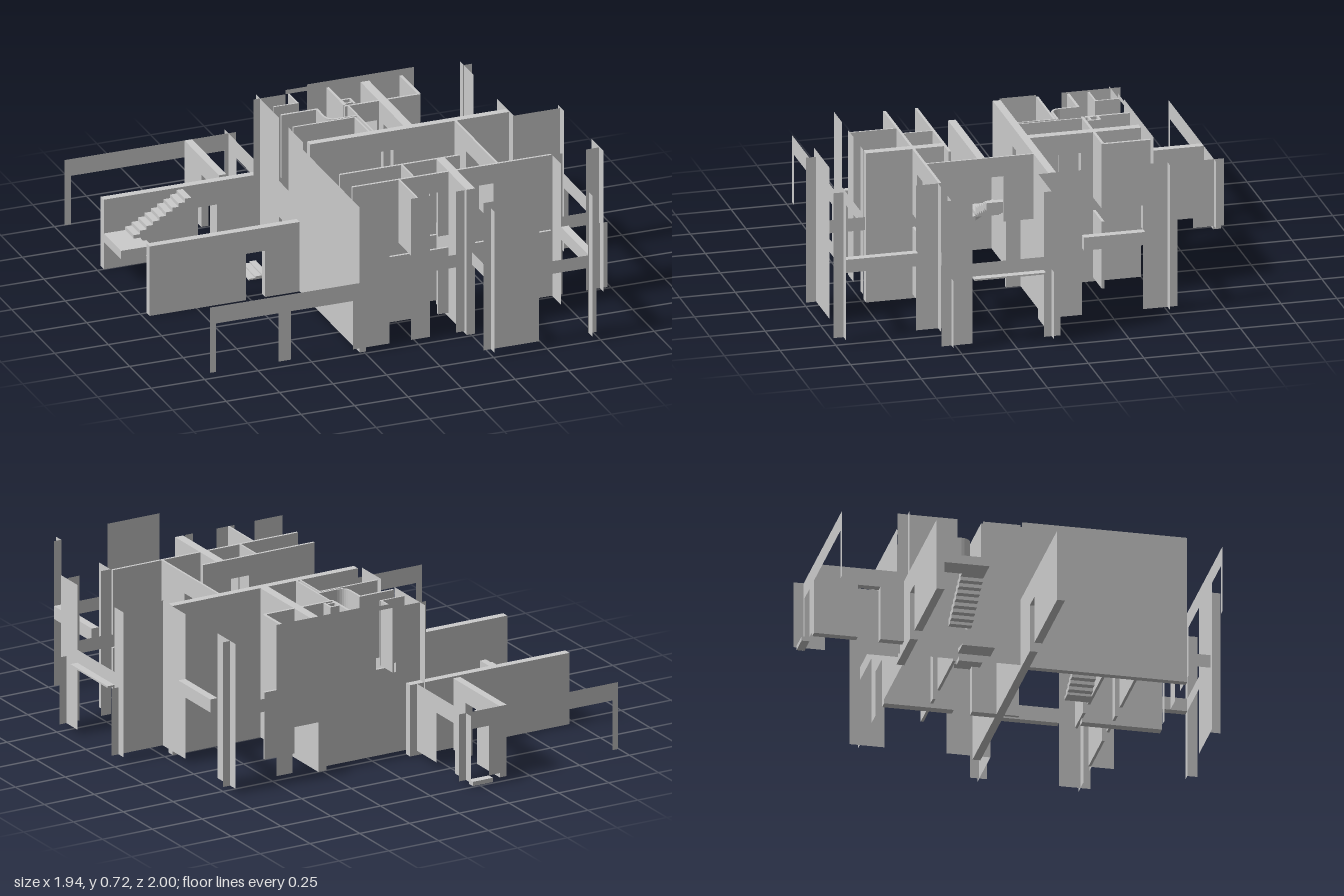
import * as THREE from 'three';

const material = new THREE.MeshStandardMaterial({ color: 0xcccccc, flatShading: true });
const thin = new THREE.MeshStandardMaterial({ color: 0xcccccc, flatShading: true, side: THREE.DoubleSide });

// Storey heights: ground floor, ceiling, upper floor, roof
const G = 0.02, C = 0.33, U = 0.39, R = 0.69;

export function createModel() {
  const model = new THREE.Group();

  function add(name, geometry, mat = material) {
    const mesh = new THREE.Mesh(geometry, mat);
    mesh.name = name;
    model.add(mesh);
  }
  // Box between two corners
  function box(name, x0, x1, y0, y1, z0, z1) {
    const g = new THREE.BoxGeometry(x1 - x0, y1 - y0, z1 - z0);
    add(name, g.translate((x0 + x1) / 2, (y0 + y1) / 2, (z0 + z1) / 2));
  }
  // Thin upright panel: axis 'x' runs along x at z = at, axis 'z' runs along z at x = at
  function panel(name, axis, at, a, b, y0, y1, mat = thin) {
    const g = new THREE.PlaneGeometry(b - a, y1 - y0);
    if (axis === 'z') g.rotateY(-Math.PI / 2);
    const m = (a + b) / 2, y = (y0 + y1) / 2;
    add(name, axis === 'x' ? g.translate(m, y, at) : g.translate(at, y, m), mat);
  }
  // Solid wall of given thickness, doors are [start, end, head height]
  function wall(name, axis, at, depth, a, b, y0, y1, doors = []) {
    const piece = (p, q, low, high) => {
      if (q - p < 1e-4) return;
      if (axis === 'x') box(name, p, q, low, high, at, at + depth);
      else box(name, at, at + depth, low, high, p, q);
    };
    let start = a;
    for (const [p, q, head] of doors) {
      piece(start, p, y0, y1);
      piece(p, q, head, y1);
      start = q;
    }
    piece(start, b, y0, y1);
  }
  // Facade: full-height panels, with floor bands across the full-height windows
  function facade(name, axis, at, a, b, windows, depth = 0) {
    let start = a;
    for (const [p, q] of windows) {
      panel(name + 'Panel', axis, at, start, p, G, R);
      if (depth) wall(name + 'Band', axis, at, depth, p, q, C, U);
      else panel(name + 'Band', axis, at, p, q, C, U);
      start = q;
    }
    panel(name + 'Panel', axis, at, start, b, G, R);
  }

  // Front facade and projecting front bay, whose planes cross at the corner
  facade('frontFacade', 'x', 0.735, -0.27, 0.22, [[-0.13, -0.03], [0.06, 0.18]]);
  panel('bayReturn', 'z', 0.255, 0.955, 1, G, R);
  panel('bayReturnBand', 'z', 0.255, 0.735, 0.955, C, U);
  panel('bayTallPanel', 'x', 0.955, 0.22, 0.48, G, 0.72);
  panel('bayBand', 'x', 0.955, 0.48, 0.71, C, U);
  panel('bayCornerPanel', 'x', 0.955, 0.71, 0.75, G, R);
  facade('baySide', 'z', 0.713, 0.53, 1, [[0.63, 0.955]], 0.036);

  // Projecting side bay, a little wider on the ground floor
  facade('sideBayFront', 'x', 0.53, 0.71, 0.93, [[0.76, 0.87]]);
  facade('sideBay', 'z', 0.935, 0.04, 0.575, [[0.115, 0.435]]);
  for (const z of [0.08, 0.53]) panel('sideBayReturn', 'x', z, 0.93, 0.97, G, C);
  box('sideBayLedge', 0.935, 0.97, 0.322, C, 0.115, 0.435);
  panel('sideBayBack', 'x', 0.08, 0.71, 0.93, G, R);
  facade('sideFacade', 'z', 0.713, -0.545, 0.08, [[-0.39, -0.115]], 0.036);

  // Back facade with raised parapet
  panel('backCornerPanel', 'x', -0.5, 0.71, 0.75, G, R);
  panel('backBand', 'x', -0.5, 0.48, 0.71, C, U);
  panel('backTallPanel', 'x', -0.5, -0.02, 0.48, 0.23, 0.72);
  for (const [a, b] of [[-0.02, 0.26], [0.4, 0.48]]) panel('backLowerPanel', 'x', -0.5, a, b, G, 0.23);
  panel('backLowerPanel', 'x', -0.5, -0.12, -0.02, G, U);
  panel('backLintel', 'x', -0.5, -0.12, -0.02, R, 0.71);
  panel('backEndPanel', 'x', -0.5, -0.27, -0.12, G, R);

  // Left side: thick lower wall, upper skin, entrance between panels
  panel('leftUpperFacade', 'z', -0.27, 0, 0.735, C, R, material);
  wall('leftWall', 'z', -0.27, 0.03, 0.035, 0.735, 0, C);
  for (const [a, b] of [[-0.545, -0.28], [-0.165, 0]]) panel('leftPanel', 'z', -0.24, a, b, G, R);
  panel('entranceBand', 'z', -0.24, -0.28, -0.165, 0.22, U);
  box('entranceThreshold', -0.27, -0.22, 0, G, -0.28, -0.175);
  for (let i = 0; i < 3; i++) box('entranceStep', -0.43 + i * 0.03, -0.4 + i * 0.03, 0, 0.007 * (i + 1), -0.3, -0.155);

  // Long garden walls, the front one continuing through the house
  wall('gardenWall', 'x', 0, 0.035, -0.97, -0.22, 0, C, [[-0.52, -0.43, 0.22]]);
  wall('lowerSpineWall', 'x', 0, 0.035, -0.22, 0.71, 0, U);
  wall('upperSpineWall', 'x', 0, 0.035, -0.22, 0.71, U, R, [[0.11, 0.17, 0.6]]);
  wall('rearGardenWall', 'x', -0.535, 0.035, -0.97, -0.17, 0, C, [[-0.53, -0.44, 0.22]]);

  // Open frame at the front left
  panel('frameBeam', 'x', 0.735, -0.97, -0.27, 0.25, C);
  for (const [a, b] of [[-0.97, -0.94], [-0.65, -0.59], [-0.3, -0.27]])
    panel('framePost', 'x', 0.735, a, b, G, 0.25);

  // Low rear wing
  panel('rearBeam', 'x', -0.955, -0.97, -0.17, 0.25, C);
  for (const [a, b] of [[-0.97, -0.94], [-0.41, -0.32], [-0.22, -0.17]])
    panel('rearPost', 'x', -0.955, a, b, G, 0.25);
  box('rearSill', -0.32, -0.22, 0, G, -0.99, -0.955);
  panel('rearSideLintel', 'z', -0.205, -1, -0.535, 0.25, C);
  for (const [a, b] of [[-1, -0.86], [-0.7, -0.535]]) panel('rearSidePanel', 'z', -0.205, a, b, G, 0.25);
  wall('rearInnerWall', 'z', -0.41, 0.035, -0.955, -0.555, 0, C, [[-0.76, -0.66, 0.25]]);

  // Thick cross walls
  wall('crossWall', 'z', 0.23, 0.04, 0.38, 0.735, 0, R);
  wall('lowerCrossWall', 'z', 0.23, 0.04, -0.5, 0, 0, U, [[-0.19, -0.11, 0.22]]);
  wall('upperCrossWall', 'z', 0.23, 0.04, -0.5, 0, U, R, [[-0.23, -0.13, 0.6]]);
  box('crossWallStub', 0.23, 0.245, 0, C, 0.035, 0.1);

  // Upper rooms: [axis, position, thickness, start, end, doors]
  const rooms = [
    ['x', 0.515, 0.012, -0.22, 0.71, [[0.08, 0.18, 0.6], [0.35, 0.44, 0.6]]],
    ['x', 0.372, 0.012, -0.22, 0.34, [[0.11, 0.2, 0.6]]],
    ['z', 0.455, 0.01, 0.035, 0.515, [[0.17, 0.32, 0.6]]],
    ['z', 0.065, 0.008, 0.38, 0.515, []],
    ['z', -0.004, 0.008, 0.527, 0.735, []],
    ['x', -0.295, 0.012, 0.07, 0.42, [[0.13, 0.22, 0.6]]],
    ['x', -0.31, 0.012, -0.22, -0.05, []],
    ['z', 0.412, 0.014, -0.5, -0.29, []],
    ['z', 0.07, 0.012, -0.5, -0.3, []],
    ['z', -0.11, 0.008, -0.5, -0.4, []],
    ['x', -0.4, 0.008, -0.22, -0.1, []],
    ['x', -0.17, 0.01, -0.22, 0.07, []],
    ['z', 0.065, 0.008, -0.17, 0, []],
    ['z', 0.083, 0.008, -0.29, 0, [[-0.18, -0.13, 0.6]]],
  ];
  for (const [axis, at, depth, a, b, doors] of rooms) wall('upperRoomWall', axis, at, depth, a, b, U, R, doors);

  // Lower rooms
  wall('lowerRoomWall', 'x', 0.515, 0.012, -0.22, 0.71, G, C, [[0.09, 0.18, 0.23], [0.35, 0.44, 0.23]]);
  wall('lowerRoomWall', 'x', 0.372, 0.012, -0.22, 0.34, G, C, [[0.09, 0.18, 0.23]]);
  wall('lowerRoomWall', 'x', -0.295, 0.012, -0.22, 0.42, G, C, [[0.09, 0.18, 0.23]]);

  // Curved hall wall
  const curve = new THREE.Shape();
  curve.moveTo(-0.058, 0.31).lineTo(-0.058, 0.22).quadraticCurveTo(-0.055, 0.175, -0.01, 0.173).lineTo(0.08, 0.173);
  curve.lineTo(0.08, 0.183).lineTo(-0.008, 0.183).quadraticCurveTo(-0.046, 0.185, -0.048, 0.222).lineTo(-0.048, 0.31);
  const curved = new THREE.ExtrudeGeometry(curve, { depth: R - U, bevelEnabled: false, curveSegments: 6 });
  add('curvedHallWall', curved.rotateX(-Math.PI / 2).translate(0, U, 0));

  // Chimney flue, hollow
  for (const x of [0.075, 0.118]) box('flueWall', x, x + 0.01, U, R, -0.36, -0.3);
  for (const z of [-0.36, -0.32]) box('flueWall', 0.085, 0.118, U, R, z, z + 0.01);

  // Indoor stair: straight flights joined by winders
  const rise = 0.0155;
  let y = G;
  const step = (x0, x1, z0, z1) => { y += rise; box('stairStep', x0, x1, Math.max(G, y - 0.035), y, z0, z1); };
  const winder = (points) => {
    y += rise;
    const s = new THREE.Shape(points.map(([x, z]) => new THREE.Vector2(x, -z)));
    const g = new THREE.ExtrudeGeometry(s, { depth: 0.035, bevelEnabled: false });
    add('stairWinder', g.rotateX(-Math.PI / 2).translate(0, y - 0.035, 0));
  };
  for (let i = 0; i < 6; i++) step(0.04 - i * 0.03, 0.07 - i * 0.03, 0.265, 0.372);
  winder([[-0.11, 0.265], [-0.11, 0.372], [-0.22, 0.372]]);
  winder([[-0.11, 0.265], [-0.22, 0.372], [-0.22, 0.265]]);
  for (let i = 0; i < 4; i++) step(-0.22, -0.11, 0.234 - i * 0.031, 0.265 - i * 0.031);
  winder([[-0.11, 0.141], [-0.22, 0.141], [-0.22, 0.035]]);
  winder([[-0.11, 0.141], [-0.22, 0.035], [-0.11, 0.035]]);
  for (let i = 0; i < 6; i++) step(-0.11 + i * 0.03, -0.08 + i * 0.03, 0.035, 0.141);

  // Outdoor stair: two flights around a landing
  const n = 9, tread = 0.27 / n, up = 0.15 / n;
  for (let i = 0; i < n; i++) {
    const x = -0.6 - i * tread, h = G + (i + 1) * up;
    box('gardenStep', x - tread, x, Math.max(0, h - 0.04), h, -0.4, -0.3);
    const x2 = -0.87 + i * tread, h2 = 0.17 + (i + 1) * up;
    box('gardenStep', x2, x2 + tread, h2 - 0.04, h2, -0.5, -0.4);
  }
  box('gardenLanding', -0.97, -0.87, 0.13, 0.17, -0.5, -0.3);

  return model;
}
